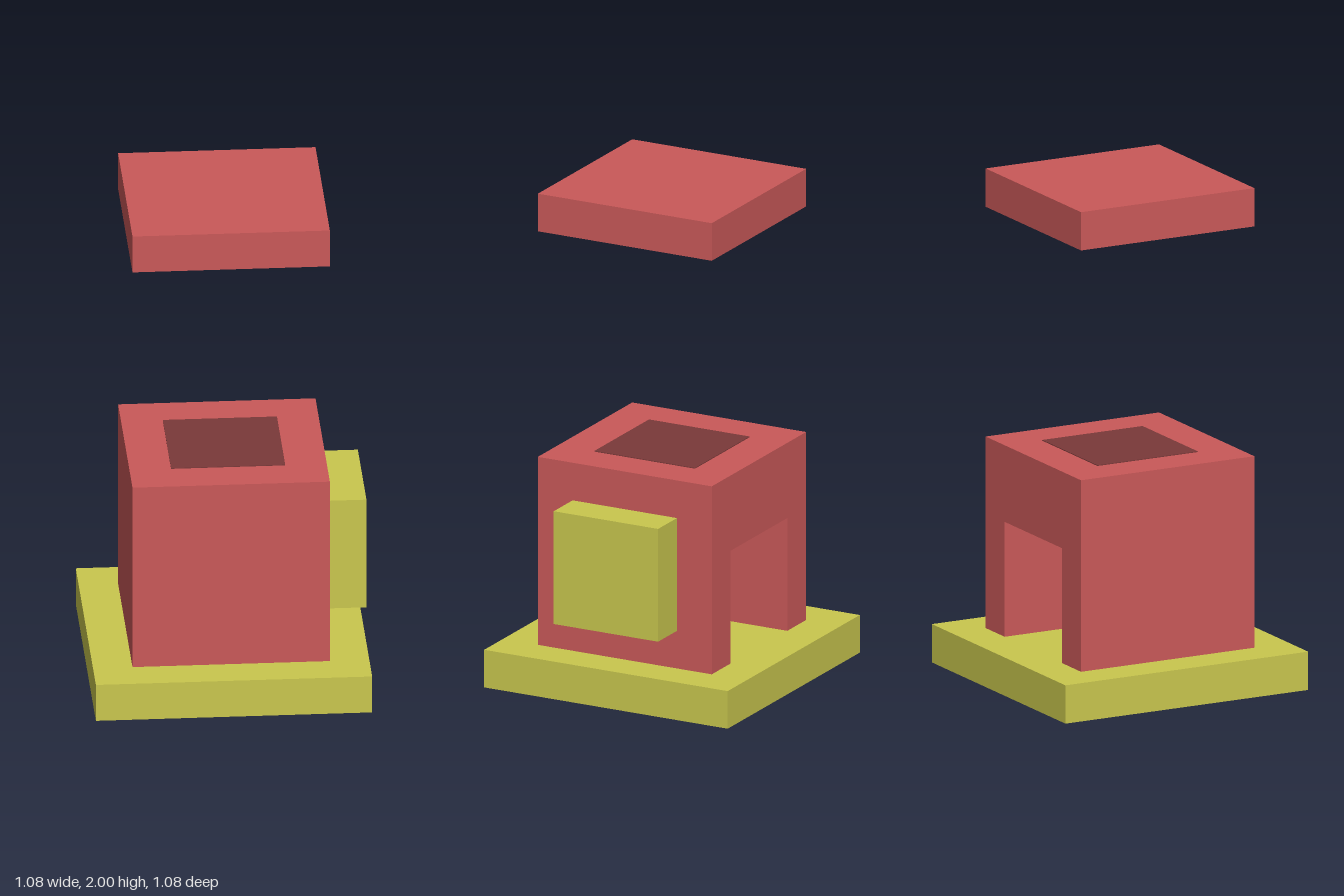
import * as THREE from 'three';

const U = 2 / 13; // modular unit: every part is a whole number of these

export function createModel() {
  const model = new THREE.Group();
  const red = new THREE.MeshStandardMaterial({ name: 'brick red', color: 0xca5959 });
  const yellow = new THREE.MeshStandardMaterial({ name: 'mustard yellow', color: 0xc9c74e });
  const dark = new THREE.MeshStandardMaterial({ name: 'dark red', color: 0x7a3939 });

  const add = (parent, name, geometry, material, x, y, z) => {
    const mesh = new THREE.Mesh(geometry, material);
    mesh.name = name;
    mesh.position.set(x, y, z);
    parent.add(mesh);
    return mesh;
  };
  const box = (w, h, d) => new THREE.BoxGeometry(w * U, h * U, d * U);

  // Ground slab and floating lid
  add(model, 'base', box(7, 1, 7), yellow, 0, 0.5 * U, 0);
  add(model, 'lid', box(5, 1, 5), red, 0, 12.5 * U, 0);

  // Body: solid front, and a back part with a doorway recess
  const body = new THREE.Group();
  body.name = 'body';
  model.add(body);
  add(body, 'bodyFront', box(5, 5, 2), red, 0, 3.5 * U, 1.5 * U);
  const arch = new THREE.Shape(
    [[-2.5, 0], [-1.5, 0], [-1.5, 3], [1.5, 3], [1.5, 0], [2.5, 0], [2.5, 5], [-2.5, 5]]
      .map(([x, y]) => new THREE.Vector2(x * U, y * U)));
  const archGeometry = new THREE.ExtrudeGeometry(arch, { depth: 3 * U, bevelEnabled: false });
  add(body, 'bodyDoorway', archGeometry, red, 0, U, -2.5 * U);

  // Dark square on top of the body
  add(body, 'topPatch', new THREE.BoxGeometry(0.445, 0.004, 0.445), dark, 0, 6 * U + 0.001, 0);

  // Block on the left wall
  add(model, 'sidePanel', box(1, 3, 3), yellow, 3 * U, 3.5 * U, 0);

  return model;
}
